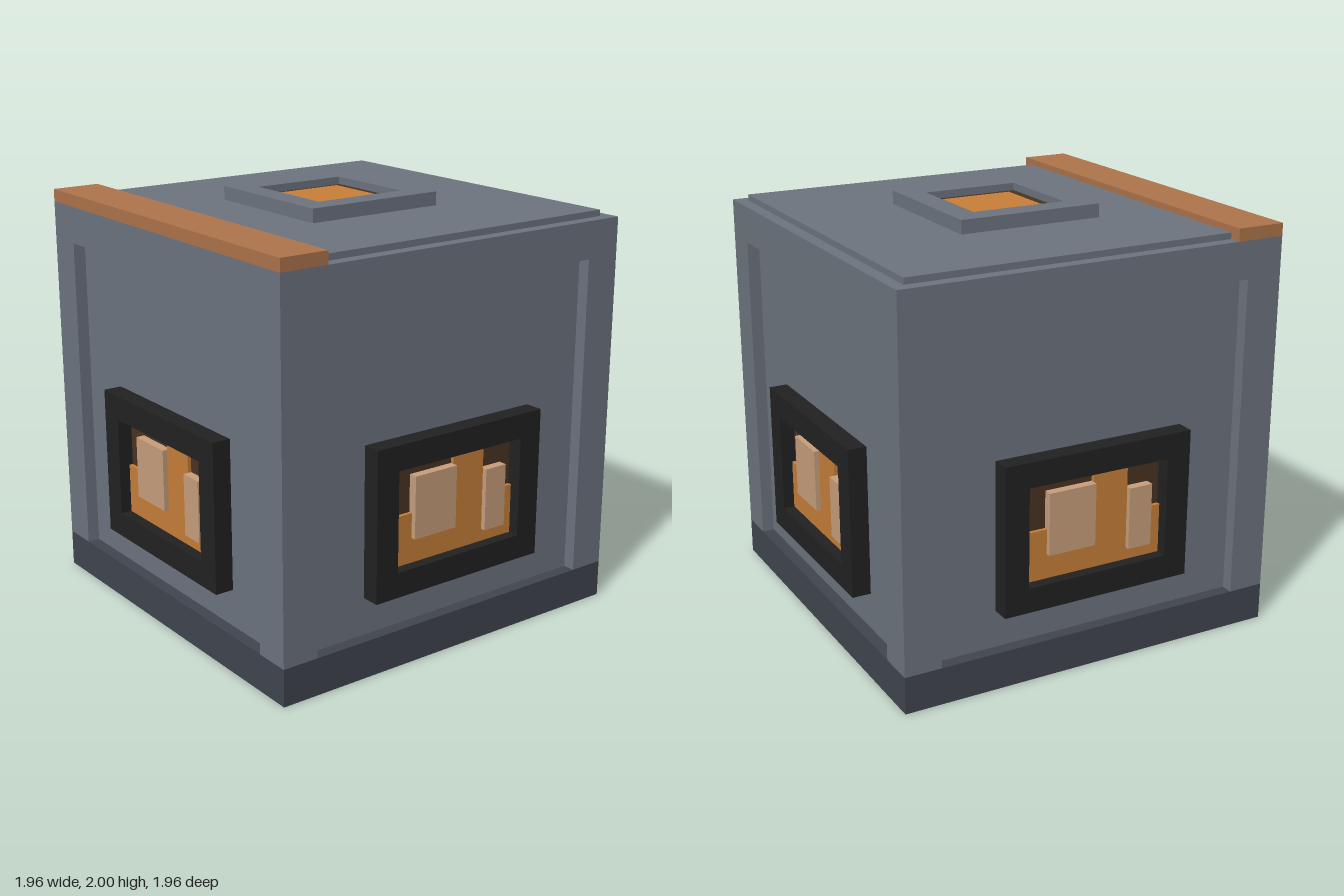
import * as THREE from 'three';

const U = 0.0595; // grid unit: the body is 32 units wide

const mat = (name, color) => {
  const m = new THREE.MeshStandardMaterial({ color });
  m.name = name;
  return m;
};

export function createModel() {
  const grey = mat('slate grey', 0x6e7580);
  const darkGrey = mat('dark slate', 0x41464f);
  const black = mat('frame black', 0x222222);
  const orange = mat('glow orange', 0xc9803a);
  const brown = mat('dark brown', 0x4a3423);
  const tan = mat('pale tan', 0xc9a07c);
  const copper = mat('copper', 0xb0754c);

  const model = new THREE.Group();
  model.name = 'cubeBlock';

  // Box given by its two corners in grid units
  const box = (parent, name, material, [x0, y0, z0], [x1, y1, z1]) => {
    const g = new THREE.BoxGeometry((x1 - x0) * U, (y1 - y0) * U, (z1 - z0) * U);
    const m = new THREE.Mesh(g, material);
    m.position.set((x0 + x1) / 2 * U, (y0 + y1) / 2 * U, (z0 + z1) / 2 * U);
    m.name = name;
    parent.add(m);
    return m;
  };

  // Rectangular ring of outer and inner half sizes, extruded along z
  const ring = (name, material, [ow, oh], [iw, ih], depth) => {
    const rect = (P, w, h) => new P([[-w, -h], [w, -h], [w, h], [-w, h]]
      .map(([x, y]) => new THREE.Vector2(x * U, y * U)));
    const shape = rect(THREE.Shape, ow, oh);
    shape.holes.push(rect(THREE.Path, iw, ih));
    const g = new THREE.ExtrudeGeometry(shape, { depth: depth * U, bevelEnabled: false });
    const m = new THREE.Mesh(g, material);
    m.name = name;
    return m;
  };

  // Body: base, recessed walls, corner posts and top slab
  box(model, 'base', darkGrey, [-16, 0, -16], [16, 3, 16]);
  box(model, 'recessedWalls', grey, [-15, 3, -15], [15, 29, 15]);
  for (const x of [-16, 13]) for (const z of [-16, 13])
    box(model, 'cornerPost', grey, [x, 3, z], [x + 3, 29, z + 3]);
  box(model, 'topSlab', grey, [-16, 29, -16], [16, 32, 16]);

  // Roof: thin plate, copper front bar, vent
  box(model, 'roofPlate', grey, [-15, 32, -15], [15, 32.5, 12]);
  box(model, 'copperBar', copper, [-16, 32, 12], [16, 33, 16]);
  const vent = ring('ventRim', grey, [6, 6], [4, 4], 1.1);
  vent.rotation.x = -Math.PI / 2;
  vent.position.y = 32.5 * U;
  model.add(vent);
  box(model, 'ventFloor', brown, [-4, 32.5, -4], [4, 33, 4]);
  box(model, 'ventGlow', orange, [-3, 33, -3], [3, 33.15, 3]);

  // The same window on all four sides
  for (let i = 0; i < 4; i++) {
    const side = new THREE.Group();
    side.name = 'window' + (i + 1);
    side.rotation.y = i * Math.PI / 2;
    const frame = ring('windowFrame', black, [8, 6], [6, 4], 1.5);
    frame.position.set(0, 12 * U, 15 * U);
    side.add(frame);
    box(side, 'windowBack', brown, [-6, 8, 15], [6, 16, 15.3]);
    box(side, 'lowerGlow', orange, [-6, 8, 15.3], [6, 12, 15.6]);
    box(side, 'glowColumn', orange, [0, 12, 15.3], [3, 16, 15.6]);
    box(side, 'largePane', tan, [-4, 10, 15.3], [0, 15, 16]);
    box(side, 'smallPane', tan, [3, 9, 15.3], [5, 14, 16]);
    model.add(side);
  }
  return model;
}
